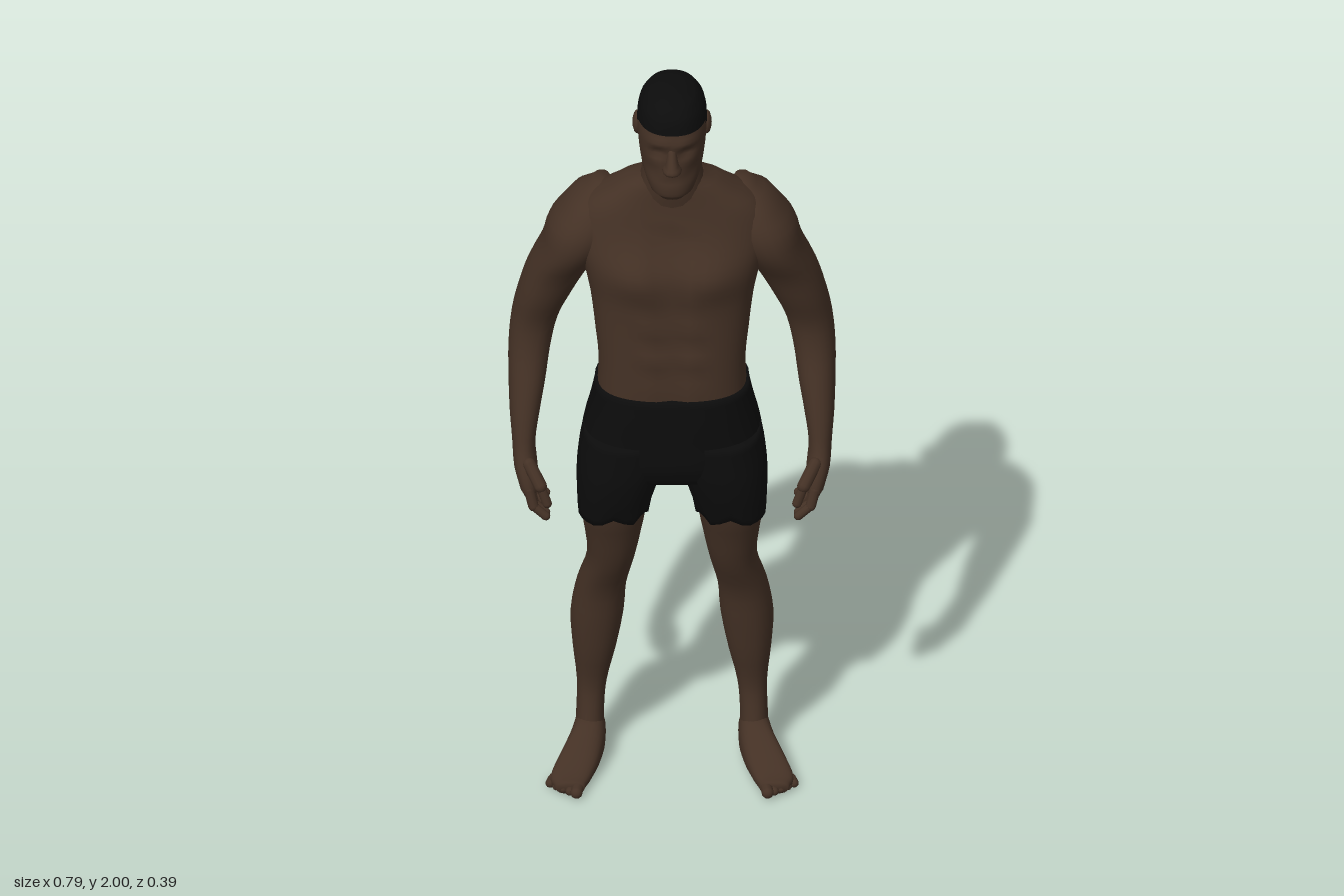
import * as THREE from 'three';

const skin = new THREE.MeshStandardMaterial({ color: 0x443125 });
skin.name = 'skin';
const black = new THREE.MeshStandardMaterial({ color: 0x0c0c0c });
black.name = 'black cloth and hair';

const bump = (a, b) => Math.exp(-a * a - b * b);

// Lofts rounded sections [t, x0, x1, v0, v1]; t runs along y (v is z) or along z (v is y).
function loft(rings, { axis = 'y', side = 1, power = 2.2, seg = 24, sub = 3, shape } = {}) {
  const rows = [];
  const at = i => rings[Math.min(Math.max(i, 0), rings.length - 1)];
  for (let i = 0; i < rings.length - 1; i++) {
    for (let s = 0; s < sub; s++) {
      const u = s / sub;
      rows.push(rings[i].map((p, k) => {
        const a = at(i - 1)[k], q = at(i + 1)[k], d = at(i + 2)[k];
        if (k === 0) return p + (q - p) * u;
        return 0.5 * (2 * p + (q - a) * u + (2 * a - 5 * p + 4 * q - d) * u * u + (3 * p - a - 3 * q + d) * u ** 3);
      }));
    }
  }
  rows.push(rings[rings.length - 1]);
  const pts = [], idx = [];
  const add = (x, t, v) => {
    const p = axis === 'y' ? new THREE.Vector3(x, t, v) : new THREE.Vector3(x, v, t);
    if (shape) shape(p);
    p.x *= side;
    pts.push(p);
  };
  const round = c => Math.sign(c) * Math.abs(c) ** (2 / power);
  for (const [t, x0, x1, v0, v1] of rows) {
    for (let j = 0; j < seg; j++) {
      const a = (j / seg) * Math.PI * 2;
      add((x0 + x1) / 2 + (x1 - x0) / 2 * round(Math.cos(a)), t, (v0 + v1) / 2 + (v1 - v0) / 2 * round(Math.sin(a)));
    }
  }
  for (let i = 0; i < rows.length - 1; i++) {
    for (let j = 0; j < seg; j++) {
      const a = i * seg + j, b = i * seg + (j + 1) % seg;
      idx.push(a, a + seg, b, b, a + seg, b + seg);
    }
  }
  // Closed ends
  for (const i of [0, rows.length - 1]) {
    const [t, x0, x1, v0, v1] = rows[i], c = pts.length, o = i * seg;
    add((x0 + x1) / 2, t, (v0 + v1) / 2);
    for (let j = 0; j < seg; j++) {
      const a = o + j, b = o + (j + 1) % seg;
      if (i === 0) idx.push(c, a, b); else idx.push(c, b, a);
    }
  }
  // Turn faces outward
  let volume = 0;
  const n = new THREE.Vector3();
  for (let i = 0; i < idx.length; i += 3) volume += pts[idx[i]].dot(n.crossVectors(pts[idx[i + 1]], pts[idx[i + 2]]));
  if (volume < 0) idx.reverse();
  const g = new THREE.BufferGeometry().setFromPoints(pts);
  g.setIndex(idx);
  g.computeVertexNormals();
  return g;
}

// Splits faces into two material groups by a test on the face centre.
function splitFaces(g, test) {
  const p = g.attributes.position, src = g.index.array, first = [], second = [];
  for (let i = 0; i < src.length; i += 3) {
    const c = new THREE.Vector3(), v = new THREE.Vector3();
    for (let k = 0; k < 3; k++) c.add(v.fromBufferAttribute(p, src[i + k]));
    (test(c.divideScalar(3)) ? second : first).push(src[i], src[i + 1], src[i + 2]);
  }
  g.setIndex([...first, ...second]);
  g.addGroup(0, first.length, 0);
  g.addGroup(first.length, second.length, 1);
  return g;
}

const sym = rows => rows.map(([t, w, a, b]) => [t, -w, w, a, b]);

export function createModel() {
  const model = new THREE.Group();
  model.name = 'standing man';
  const part = (name, geometry, material = skin, parent = model) => {
    const m = new THREE.Mesh(geometry, material);
    m.name = name;
    parent.add(m);
    return m;
  };
  // Rounded rod between two points
  const rod = (name, a, b, r, parent) => {
    const A = new THREE.Vector3(...a), B = new THREE.Vector3(...b), d = B.clone().sub(A);
    const m = part(name, new THREE.CapsuleGeometry(r, d.length(), 4, 10), skin, parent);
    m.position.copy(A).add(B).multiplyScalar(0.5);
    m.quaternion.setFromUnitVectors(new THREE.Vector3(0, 1, 0), d.normalize());
  };

  // Torso with chest, belly line and spine groove
  part('torso', loft(sym([
    [1.73, 0.07, -0.06, 0.045], [1.69, 0.125, -0.095, 0.05], [1.62, 0.215, -0.145, 0.06], [1.54, 0.235, -0.168, 0.08],
    [1.46, 0.215, -0.17, 0.105], [1.38, 0.198, -0.163, 0.108], [1.28, 0.186, -0.14, 0.11], [1.2, 0.178, -0.12, 0.112],
    [1.12, 0.18, -0.13, 0.113], [1.06, 0.185, -0.145, 0.11],
  ]), { power: 2.6, seg: 48, sub: 4, shape: p => {
    const x = Math.abs(p.x);
    if (p.z > 0.02) {
      p.z += 0.02 * bump((x - 0.09) / 0.07, (p.y - 1.475) / 0.06);
      if (p.y < 1.6) p.z -= 0.008 * bump(p.x / 0.018, 0);
      p.z += 0.005 * bump((x - 0.045) / 0.03, 0) * Math.cos((p.y - 1.33) * 70) * bump(0, (p.y - 1.28) / 0.1);
    } else if (p.z < -0.03) {
      p.z += 0.022 * bump(p.x / 0.035, (p.y - 1.35) / 0.28);
      p.z -= 0.01 * bump((x - 0.12) / 0.06, (p.y - 1.5) / 0.08);
    }
  } }));

  part('neck', loft(sym([
    [1.82, 0.068, -0.055, 0.07], [1.75, 0.072, -0.053, 0.066], [1.69, 0.083, -0.085, 0.062], [1.62, 0.1, -0.13, 0.05],
  ])));

  // Head with eye sockets, brow and mouth; the cropped hair is part of the same surface
  const head = loft(sym([
    [1.735, 0.035, 0.05, 0.148], [1.75, 0.055, 0.0, 0.16], [1.785, 0.07, -0.045, 0.162], [1.83, 0.078, -0.06, 0.16],
    [1.88, 0.083, -0.07, 0.164], [1.925, 0.084, -0.072, 0.16], [1.96, 0.077, -0.065, 0.152], [1.985, 0.06, -0.045, 0.132],
    [1.997, 0.035, -0.01, 0.1], [2.0, 0.01, 0.03, 0.06],
  ]), { power: 2.3, seg: 40, sub: 4, shape: p => {
    if (p.z < 0.06) return;
    const x = Math.abs(p.x);
    p.z -= 0.016 * bump((x - 0.034) / 0.02, (p.y - 1.872) / 0.014);
    p.z += 0.006 * bump((x - 0.03) / 0.035, (p.y - 1.9) / 0.012);
    p.z -= 0.008 * bump((x - 0.05) / 0.02, (p.y - 1.81) / 0.025);
    p.z -= 0.006 * bump(p.x / 0.03, (p.y - 1.792) / 0.006);
  } });
  part('head and hair', splitFaces(head, c => {
    const back = THREE.MathUtils.clamp((0.09 - c.z) / 0.14, 0, 1);
    return c.y > 1.925 - 0.085 * back;
  }), [skin, black]);
  part('nose', loft(sym([
    [1.89, 0.01, 0.13, 0.162], [1.845, 0.016, 0.13, 0.188], [1.828, 0.024, 0.12, 0.194], [1.812, 0.016, 0.12, 0.165],
  ]), { seg: 12 }));

  // Shorts seat
  part('shorts', loft(sym([
    [1.128, 0.186, -0.14, 0.117], [1.06, 0.197, -0.165, 0.12], [0.99, 0.213, -0.18, 0.12],
    [0.93, 0.222, -0.165, 0.12], [0.885, 0.215, -0.13, 0.105],
  ]), { power: 2.5, seg: 40, shape: p => {
    if (p.z < 0 && p.y < 1.05) p.z += 0.015 * bump(p.x / 0.025, (p.y - 0.93) / 0.06);
  } }), black);

  for (const side of [1, -1]) {
    const label = side > 0 ? 'left' : 'right';
    const arm = new THREE.Group(), leg = new THREE.Group();
    arm.name = label + ' arm';
    leg.name = label + ' leg';
    model.add(arm, leg);

    const ear = part(label + ' ear', new THREE.SphereGeometry(1, 12, 8));
    ear.scale.set(0.012, 0.032, 0.02);
    ear.position.set(side * 0.084, 1.868, 0.005);

    // Shoulder, arm and palm
    part(label + ' arm and palm', loft([
      [1.655, 0.15, 0.19, -0.11, -0.05], [1.62, 0.13, 0.243, -0.145, 0.01], [1.55, 0.13, 0.297, -0.17, 0.045],
      [1.48, 0.165, 0.316, -0.185, 0.04], [1.4, 0.205, 0.349, -0.19, 0.0], [1.32, 0.243, 0.372, -0.19, -0.025],
      [1.24, 0.275, 0.388, -0.19, -0.05], [1.16, 0.293, 0.395, -0.175, -0.045], [1.08, 0.305, 0.395, -0.15, -0.02],
      [1.0, 0.32, 0.392, -0.112, 0.005], [0.93, 0.33, 0.386, -0.08, 0.025], [0.88, 0.325, 0.382, -0.058, 0.05],
      [0.83, 0.322, 0.368, -0.035, 0.063], [0.815, 0.33, 0.36, -0.02, 0.055],
    ], { side }), skin, arm);
    for (let f = 0; f < 4; f++) {
      const z = -0.024 + f * 0.025, drop = [0.025, 0.01, 0, 0.005][f];
      const knuckle = [side * 0.345, 0.835, z], joint = [side * 0.335, 0.79 + drop, z + 0.008];
      rod(label + ' finger base', knuckle, joint, 0.013, arm);
      rod(label + ' fingertip', joint, [side * 0.305, 0.765 + drop, z + 0.014], 0.011, arm);
    }
    rod(label + ' thumb base', [side * 0.345, 0.9, 0.035], [side * 0.318, 0.855, 0.064], 0.016, arm);
    rod(label + ' thumb tip', [side * 0.318, 0.855, 0.064], [side * 0.302, 0.81, 0.07], 0.012, arm);

    // Shorts leg
    part(label + ' shorts leg', loft([
      [0.99, 0.0, 0.213, -0.165, 0.118], [0.93, 0.0, 0.225, -0.155, 0.12], [0.88, 0.02, 0.23, -0.14, 0.12],
      [0.82, 0.042, 0.23, -0.115, 0.112], [0.768, 0.055, 0.228, -0.104, 0.1],
    ], { side, power: 2.4, shape: p => {
      if (p.y < 0.8) p.y += 0.01 * Math.sin(p.x * 70 + p.z * 45);
    } }), black, leg);

    // Thigh, knee and calf
    part(label + ' thigh and calf', loft([
      [0.84, 0.045, 0.22, -0.105, 0.1], [0.77, 0.06, 0.222, -0.1, 0.09], [0.7, 0.072, 0.213, -0.1, 0.068],
      [0.6, 0.09, 0.205, -0.112, 0.037], [0.5, 0.11, 0.23, -0.137, -0.005], [0.4, 0.117, 0.245, -0.166, -0.02],
      [0.3, 0.135, 0.24, -0.157, -0.035], [0.2, 0.157, 0.23, -0.142, -0.055], [0.12, 0.164, 0.231, -0.143, -0.045],
      [0.04, 0.163, 0.235, -0.142, -0.03],
    ], { side }), skin, leg);

    // Foot turned outward, with toes
    part(label + ' foot', loft([
      [-0.148, 0.175, 0.215, 0.01, 0.05], [-0.13, 0.164, 0.23, 0.002, 0.085], [-0.09, 0.16, 0.237, 0, 0.11],
      [-0.03, 0.163, 0.25, 0.002, 0.105], [0.03, 0.178, 0.278, 0.002, 0.068], [0.08, 0.198, 0.294, 0, 0.042],
      [0.115, 0.212, 0.28, 0.002, 0.034],
    ], { axis: 'z', side, power: 2.6 }), skin, leg);
    for (let t = 0; t < 5; t++) {
      const x = 0.224 + t * 0.016, r = t ? 0.011 : 0.015;
      rod(label + ' toe', [side * x, r + 0.002, 0.085 - t * 0.006], [side * (x + 0.007), r, 0.13 - t * 0.012], r, leg);
    }
  }
  return model;
}
